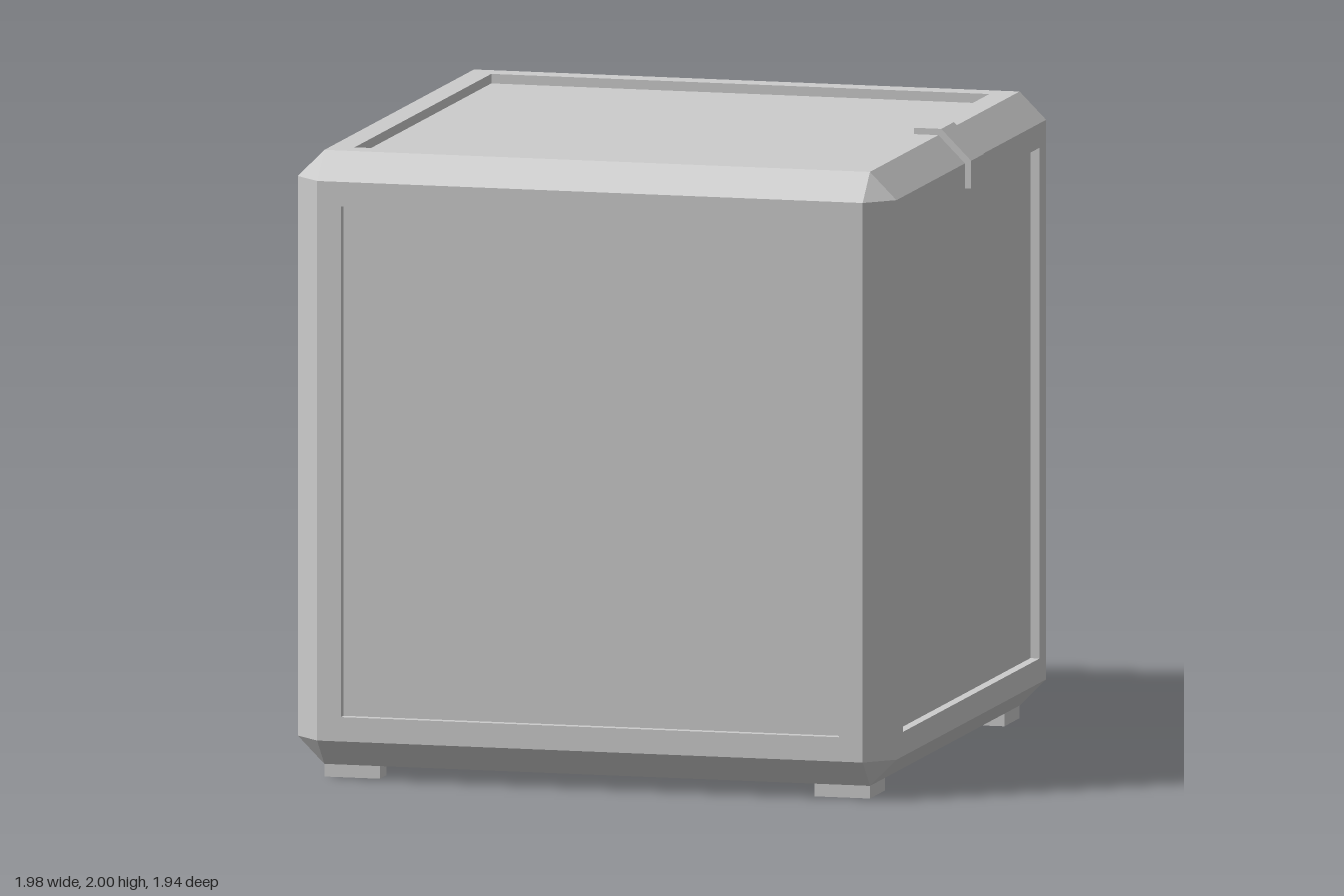
import * as THREE from 'three';

const H = 0.97;      // half size of the body
const I = 0.884;     // half size of each flat side inside the bevels
const P = 0.807;     // half size of the recessed panels
const DEPTH = 0.03;  // panel recess
const CX = -0.005, CY = 1.01;

const material = new THREE.MeshStandardMaterial({ color: 0xcccccc, flatShading: true });

function add(parent, name, geometry, x = 0, y = 0, z = 0) {
  const mesh = new THREE.Mesh(geometry, material);
  mesh.name = name;
  mesh.position.set(x, y, z);
  parent.add(mesh);
  return mesh;
}

function fromTriangles(positions) {
  const g = new THREE.BufferGeometry();
  g.setAttribute('position', new THREE.Float32BufferAttribute(positions, 3));
  g.computeVertexNormals();
  return g;
}

// One side facing +z: flat frame, recess walls and sunken panel
function sideGeometry() {
  const rings = [[I, H], [P, H], [P, H - DEPTH]].map(([r, z]) =>
    [[-r, -r, z], [r, -r, z], [r, r, z], [-r, r, z]]);
  const out = [];
  const quad = (a, b, c, d) => out.push(...a, ...b, ...c, ...a, ...c, ...d);
  for (let k = 0; k < 2; k++) {
    for (let j = 0; j < 4; j++) {
      const n = (j + 1) % 4;
      quad(rings[k][j], rings[k][n], rings[k + 1][n], rings[k + 1][j]);
    }
  }
  quad(...rings[2]);
  return fromTriangles(out);
}

// Bevel strips on the 12 edges and triangles on the 8 corners
function bevelGeometry() {
  const out = [];
  const tri = (a, b, c) => {
    const [va, vb, vc] = [a, b, c].map(p => new THREE.Vector3(...p));
    const n = vb.clone().sub(va).cross(vc.clone().sub(va));
    const outward = n.dot(va.add(vb).add(vc)) > 0;
    out.push(...a, ...(outward ? b : c), ...(outward ? c : b));
  };
  for (const s of [-1, 1]) for (const t of [-1, 1]) {
    for (let axis = 0; axis < 3; axis++) {
      const at = (along, u, v) => {
        const p = [0, 0, 0];
        p[axis] = along;
        p[(axis + 1) % 3] = s * u;
        p[(axis + 2) % 3] = t * v;
        return p;
      };
      tri(at(-I, H, I), at(I, H, I), at(I, I, H));
      tri(at(-I, H, I), at(I, I, H), at(-I, I, H));
    }
    for (const r of [-1, 1]) {
      tri([s * H, t * I, r * I], [s * I, t * H, r * I], [s * I, t * I, r * H]);
    }
  }
  return fromTriangles(out);
}

function extrude(points, depth) {
  const shape = new THREE.Shape(points.map(p => new THREE.Vector2(...p)));
  return new THREE.ExtrudeGeometry(shape, { depth, bevelEnabled: false });
}

export function createModel() {
  const model = new THREE.Group();
  model.name = 'crate';

  // Body
  const body = new THREE.Group();
  body.name = 'body';
  body.position.set(CX, CY, 0);
  model.add(body);
  add(body, 'bevels', bevelGeometry());
  const side = sideGeometry();
  const q = Math.PI / 2;
  const turns = {
    frontPanel: [0, 0], leftPanel: [0, q], backPanel: [0, 2 * q],
    rightPanel: [0, -q], topPanel: [-q, 0], bottomPanel: [q, 0],
  };
  for (const [name, [rx, ry]] of Object.entries(turns)) {
    add(body, name, side).rotation.set(rx, ry, 0);
  }

  // L-shaped feet under the four corners
  const arm = I - 0.18;
  const foot = extrude([[I, I], [arm, I], [arm, P], [P, P], [P, arm], [I, arm]], CY - H);
  foot.rotateX(q);
  for (let k = 0; k < 4; k++) {
    add(model, 'foot', foot, CX, CY - H, 0).rotation.y = k * q;
  }

  // Latch folded over the top edge
  const latch = extrude([
    [0.80, CY + H], [0.80, 2], [0.888, 2], [0.985, 1.903], [0.985, 1.815],
    [CX + H, 1.815], [CX + H, CY + I], [CX + I, CY + H],
  ], 0.15);
  add(model, 'latch', latch, 0, 0, -0.075);

  // Hinge barrels along the opposite edge
  const barrel = new THREE.CylinderGeometry(0.013, 0.013, 0.155, 12);
  barrel.rotateX(q);
  for (let k = -2; k <= 2; k++) {
    add(model, 'hinge', barrel, -0.977, CY + I, k * 0.311);
  }
  return model;
}
